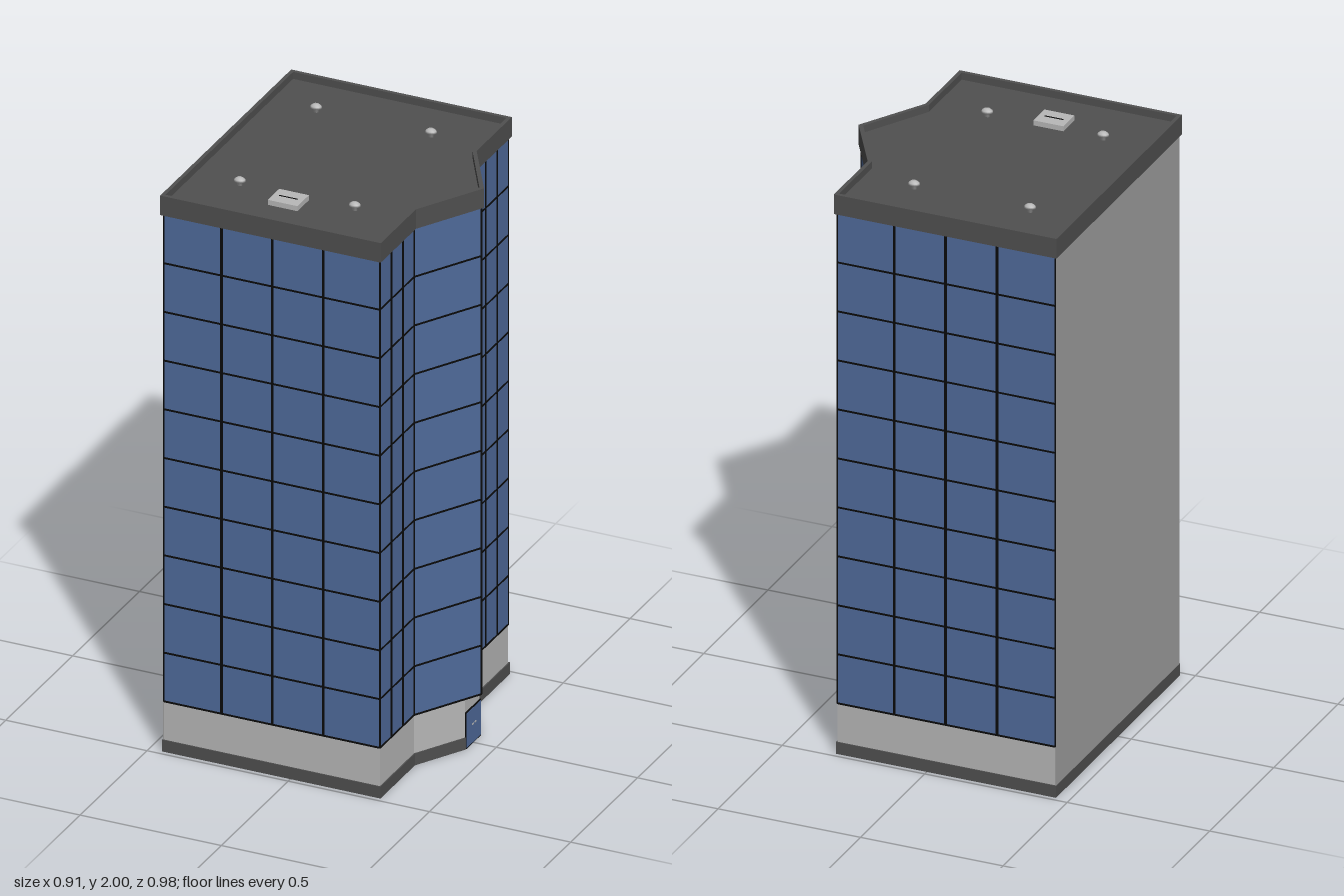
import * as THREE from 'three';

const mat = (name, color) => {
  const m = new THREE.MeshStandardMaterial({ color });
  m.name = name;
  return m;
};

export function createModel() {
  const dark = mat('darkTrim', 0x505050);
  const light = mat('paleStone', 0xb8b8b8);
  const grey = mat('greyWall', 0xa0a0a0);
  const glass = mat('blueGlass', 0x506b9c);
  const black = mat('blackFrame', 0x0a0a0a);

  const model = new THREE.Group();
  model.name = 'officeTower';

  const add = (parent, name, geo, material, x = 0, y = 0, z = 0) => {
    const mesh = new THREE.Mesh(geo, material);
    mesh.name = name;
    mesh.position.set(x, y, z);
    parent.add(mesh);
    return mesh;
  };
  const box = (parent, name, material, w, h, d, x, y, z) =>
    add(parent, name, new THREE.BoxGeometry(w, h, d), material, x, y, z);

  // Floor plan with a wedge-shaped bay on the +x side, as [x, z]
  const plan = (x0, x1, z, shoulder, tip, flat = 0) => [
    [x0, z], [x1, z], [x1, shoulder],
    ...(flat ? [[tip, flat], [tip, -flat]] : [[tip, 0]]),
    [x1, -shoulder], [x1, -z], [x0, -z],
  ];
  const toPoints = (pts) => pts.map(([x, z]) => new THREE.Vector2(x, -z));
  const slab = (name, material, pts, y0, y1, hole) => {
    const shape = new THREE.Shape(toPoints(pts));
    if (hole) shape.holes.push(new THREE.Path(toPoints(hole)));
    const geo = new THREE.ExtrudeGeometry(shape, { depth: y1 - y0, bevelEnabled: false });
    geo.rotateX(-Math.PI / 2);
    return add(model, name, geo, material, 0, y0, 0);
  };

  // Stacked storeys
  const glassPlan = plan(-0.45, 0.315, 0.48, 0.225, 0.447);
  const rimOuter = plan(-0.458, 0.323, 0.49, 0.227, 0.457);
  const rimInner = plan(-0.445, 0.31, 0.477, 0.223, 0.44);
  slab('plinth', dark, plan(-0.454, 0.319, 0.484, 0.226, 0.418, 0.057), 0, 0.042);
  slab('groundFloor', light, plan(-0.45, 0.315, 0.48, 0.225, 0.415, 0.055), 0.042, 0.18);
  slab('glassStoreys', glass, glassPlan, 0.18, 1.93);
  slab('roofDeck', dark, rimOuter, 1.93, 1.975);
  slab('parapet', dark, rimOuter, 1.975, 2, rimInner);
  box(model, 'blankWall', grey, 0.004, 1.888, 0.962, -0.451, 0.986, 0);

  // Window grid: horizontal bars and vertical mullions on each glazed face
  const splits = [[0.268, 0.503, 0.739], [1 / 3, 2 / 3], [], [], [1 / 3, 2 / 3], [0.261, 0.497, 0.732]];
  splits.forEach((fractions, i) => {
    const [ax, az] = glassPlan[i];
    const [bx, bz] = glassPlan[i + 1];
    const length = Math.hypot(bx - ax, bz - az);
    const face = new THREE.Group();
    face.name = 'windowGrid' + (i + 1);
    face.position.set((ax + bx) / 2, 0, (az + bz) / 2);
    face.rotation.y = Math.atan2(az - bz, bx - ax);
    for (let k = 0; k <= 10; k++) {
      box(face, 'horizontalBar', black, length, 0.006, 0.004, 0, 0.18 + k * 0.175, 0);
    }
    for (const f of [0, ...fractions, 1]) {
      const corner = f === 0 || f === 1;
      box(face, 'mullion', black, corner ? 0.005 : 0.009, 1.75, 0.004, (f - 0.5) * length, 1.055, 0);
    }
    model.add(face);
  });

  // Double entrance door on the flattened tip of the bay
  const door = new THREE.Group();
  door.name = 'entrance';
  door.position.x = 0.418;
  model.add(door);
  box(door, 'doorFrame', black, 0.004, 0.131, 0.11, 0, 0.0665, 0);
  for (const s of [1, -1]) {
    box(door, 'doorLeaf', glass, 0.006, 0.123, 0.051, 0, 0.0665, s * 0.027);
    box(door, 'doorHandle', light, 0.01, 0.005, 0.01, 0, 0.072, s * 0.01);
  }

  // Rooftop mushroom vents
  const ventProfile = [[0, 0], [0.009, 0], [0.009, 0.013], [0.02, 0.015], [0.018, 0.022], [0.01, 0.028], [0, 0.029]]
    .map(([r, y]) => new THREE.Vector2(r, y));
  for (const x of [-0.28, 0.127]) {
    for (const z of [-0.3, 0.27]) {
      const vent = add(model, 'roofVent', new THREE.LatheGeometry(ventProfile, 16), light, x, 1.975, z);
      vent.scale.z = 0.8;
    }
  }

  // Rooftop air unit with a slot
  box(model, 'airUnit', light, 0.105, 0.018, 0.086, -0.0875, 1.984, 0.314);
  box(model, 'airUnitSlot', black, 0.066, 0.002, 0.004, -0.0875, 1.9935, 0.314);

  return model;
}
